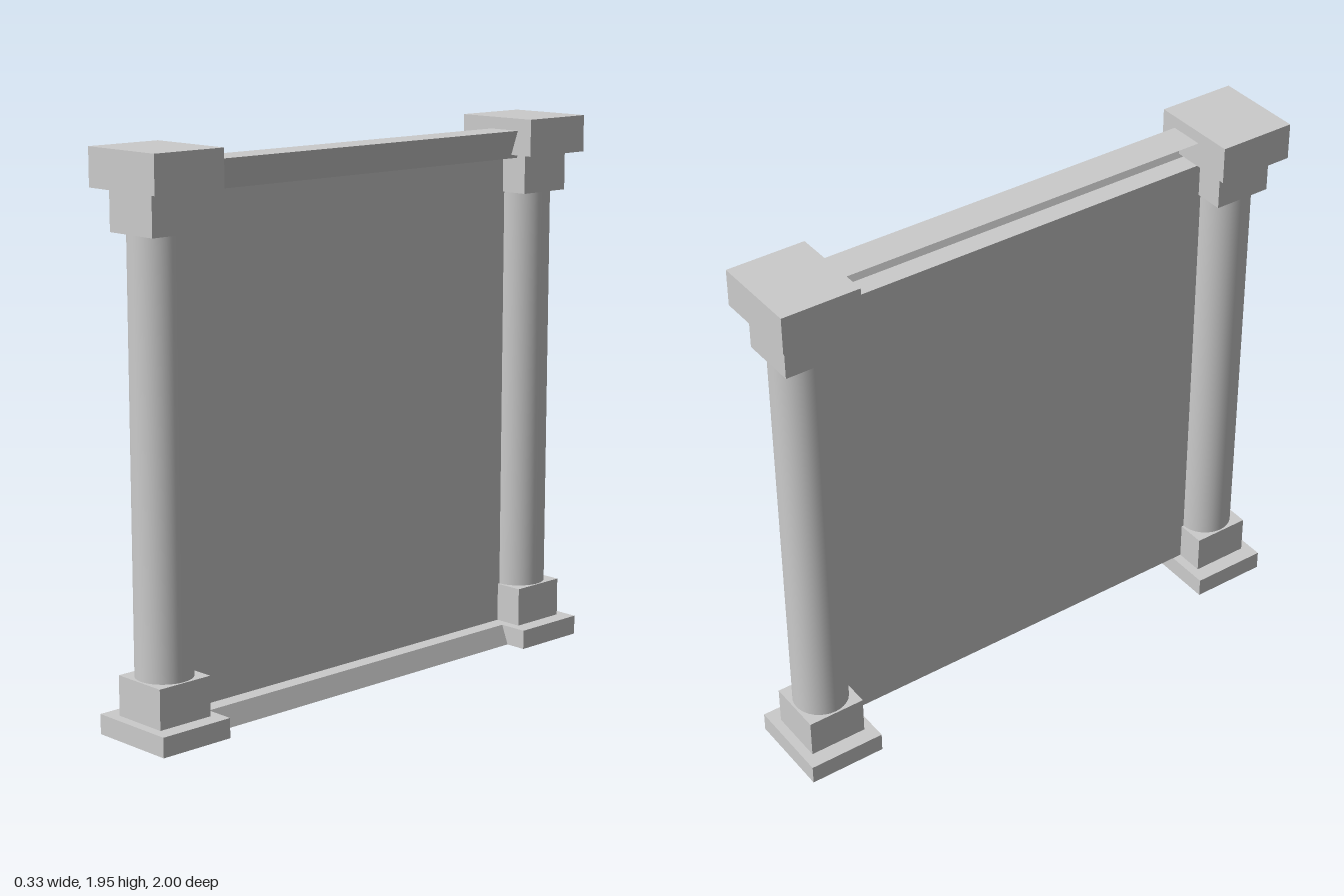
import * as THREE from 'three';

const material = new THREE.MeshStandardMaterial({ color: 0xcccccc });
const sheetMaterial = new THREE.MeshStandardMaterial({ color: 0xcccccc, side: THREE.DoubleSide });

// Box spanning y0..y1, centred on the column axis
function block(parent, name, width, depth, y0, y1) {
  const mesh = new THREE.Mesh(new THREE.BoxGeometry(width, y1 - y0, depth), material);
  mesh.name = name;
  mesh.position.y = (y0 + y1) / 2;
  parent.add(mesh);
}

function createColumn(name) {
  const column = new THREE.Group();
  column.name = name;
  block(column, 'plinth', 0.328, 0.284, 0, 0.07);
  block(column, 'baseBlock', 0.212, 0.214, 0.07, 0.21);
  const shaft = new THREE.Mesh(new THREE.CylinderGeometry(0.099, 0.099, 1.47, 32), material);
  shaft.name = 'shaft';
  shaft.position.y = 0.945;
  column.add(shaft);
  block(column, 'neckBlock', 0.212, 0.214, 1.68, 1.82);
  block(column, 'capSlab', 0.328, 0.284, 1.82, 1.951);
  return column;
}

// Flat strip along z between two [x, y] points, facing right of the path
function strip(parent, name, [x0, y0], [x1, y1], length) {
  const dx = x1 - x0, dy = y1 - y0;
  const geometry = new THREE.PlaneGeometry(length, Math.hypot(dx, dy));
  geometry.rotateY(Math.PI / 2);
  geometry.rotateZ(Math.atan2(dy, dx) - Math.PI / 2);
  const mesh = new THREE.Mesh(geometry, sheetMaterial);
  mesh.name = name;
  mesh.position.set((x0 + x1) / 2, (y0 + y1) / 2, 0);
  parent.add(mesh);
}

export function createModel() {
  const model = new THREE.Group();
  model.name = 'columnPanel';

  // Columns at both ends
  for (const side of [1, -1]) {
    const column = createColumn(side > 0 ? 'frontColumn' : 'backColumn');
    column.position.z = side * 0.858;
    model.add(column);
  }

  // Folded sheet: skirting, wall and an overhanging top rail open at the rear
  const profile = [[0.085, 0], [0.057, 0.07], [0, 0.07], [0, 1.80],
    [0.067, 1.807], [0.102, 1.908], [-0.027, 1.908]];
  const names = ['skirtingFace', 'skirtingTop', 'panel', 'railUnderside', 'railFace', 'railTop'];
  const sheet = new THREE.Group();
  sheet.name = 'wallSheet';
  names.forEach((name, i) => strip(sheet, name, profile[i], profile[i + 1], 1.64));
  model.add(sheet);

  return model;
}
